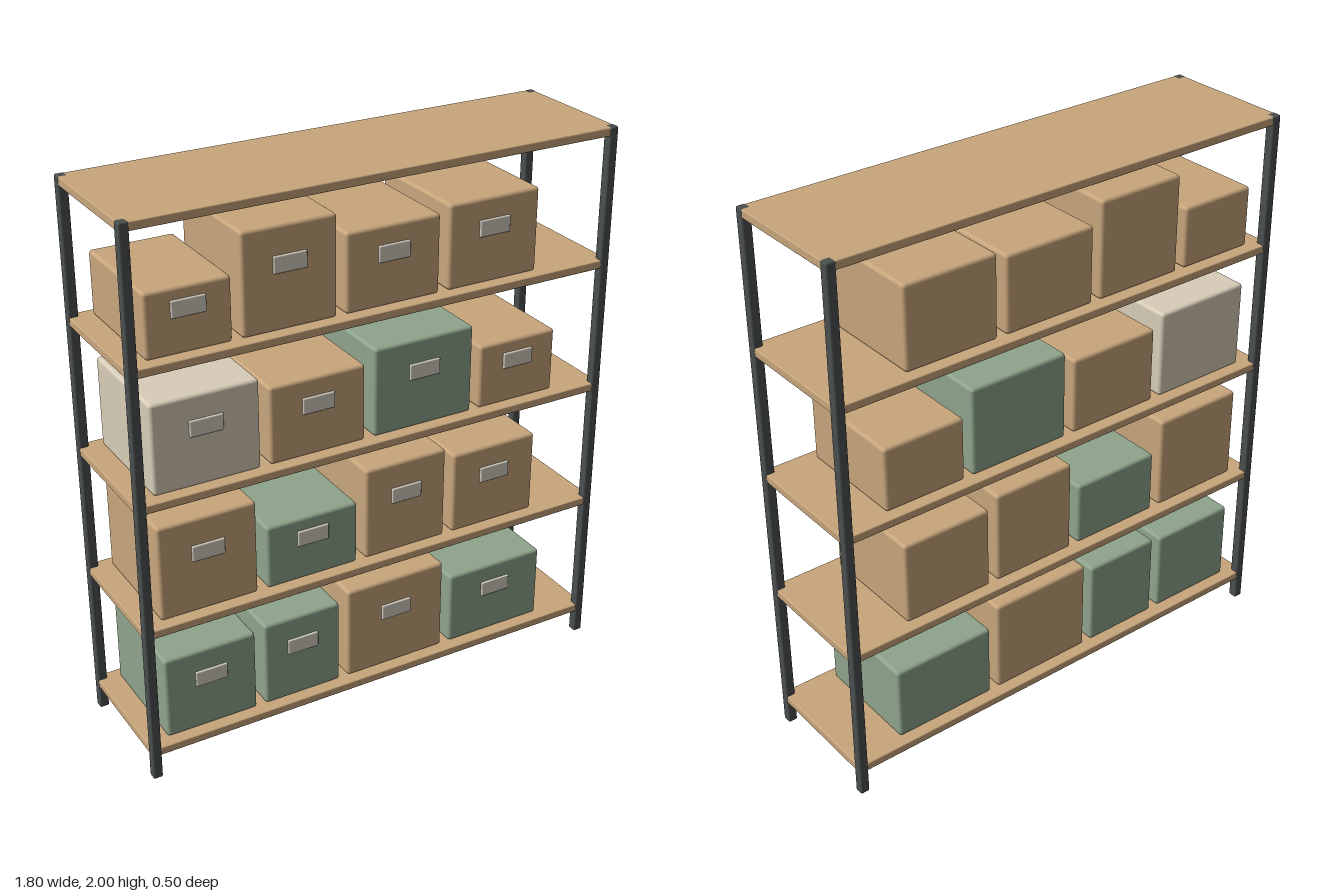
import * as THREE from 'three';
import { RoundedBoxGeometry } from 'three/addons/geometries/RoundedBoxGeometry.js';

const material = (color) => new THREE.MeshStandardMaterial({ color });

export function createModel() {
  const model = new THREE.Group();
  model.name = 'storageShelf';

  const steel = material(0x4a4f50);
  const wood = material(0xc8a67c);
  const paper = material(0xd6d0c4);
  const boxColors = {
    tan: material(0xc8a67c),
    green: material(0x8fa58c),
    cream: material(0xd8cdb8),
  };

  // Rounded block centred on x and z, standing on y
  function block(name, parent, mat, [w, h, d], [x, y, z], radius) {
    const mesh = new THREE.Mesh(new RoundedBoxGeometry(w, h, d, 2, radius), mat);
    mesh.name = name;
    mesh.position.set(x, y + h / 2, z);
    parent.add(mesh);
    return mesh;
  }

  // Four corner posts
  for (const sx of [-1, 1]) {
    for (const sz of [-1, 1]) {
      const name = (sz > 0 ? 'front' : 'back') + (sx > 0 ? 'Left' : 'Right') + 'Post';
      block(name, model, steel, [0.034, 2, 0.034], [sx * 0.881, 0, sz * 0.231], 0.006);
    }
  }

  // Five boards, tucked just inside the post faces
  const shelfTops = [0.12, 0.59, 1.058, 1.528, 1.999];
  shelfTops.forEach((top, i) => {
    block(`shelf${i + 1}`, model, wood, [1.792, 0.03, 0.492], [0, top - 0.03, 0], 0.004);
  });

  // Boxes on each shelf: right edge, left edge, top height, colour
  const rows = [
    [[-0.82, -0.48, 0.43, 'green'], [-0.445, -0.15, 0.442, 'green'],
      [-0.116, 0.278, 0.472, 'tan'], [0.312, 0.702, 0.398, 'green']],
    [[-0.82, -0.463, 0.94, 'tan'], [-0.426, -0.08, 0.826, 'green'],
      [-0.045, 0.276, 0.935, 'tan'], [0.31, 0.652, 0.898, 'tan']],
    [[-0.82, -0.44, 1.38, 'cream'], [-0.405, -0.05, 1.337, 'tan'],
      [-0.014, 0.372, 1.38, 'green'], [0.405, 0.713, 1.292, 'tan']],
    [[-0.82, -0.526, 1.75, 'tan'], [-0.492, -0.155, 1.88, 'tan'],
      [-0.122, 0.23, 1.806, 'tan'], [0.265, 0.617, 1.827, 'tan']],
  ];
  const depth = 0.414;
  rows.forEach((row, r) => {
    row.forEach(([x0, x1, top, color], c) => {
      const box = new THREE.Group();
      box.name = `storageBox${r + 1}_${c + 1}`;
      const base = shelfTops[r];
      const h = top - base;
      const x = (x0 + x1) / 2;
      block('boxBody', box, boxColors[color], [x1 - x0, h, depth], [x, base, 0], 0.012);
      // Label plate on the front
      block('label', box, paper, [0.118, 0.058, 0.014],
        [x, base + 0.55 * h + 0.002, depth / 2 + 0.001], 0.004);
      model.add(box);
    });
  });

  return model;
}
